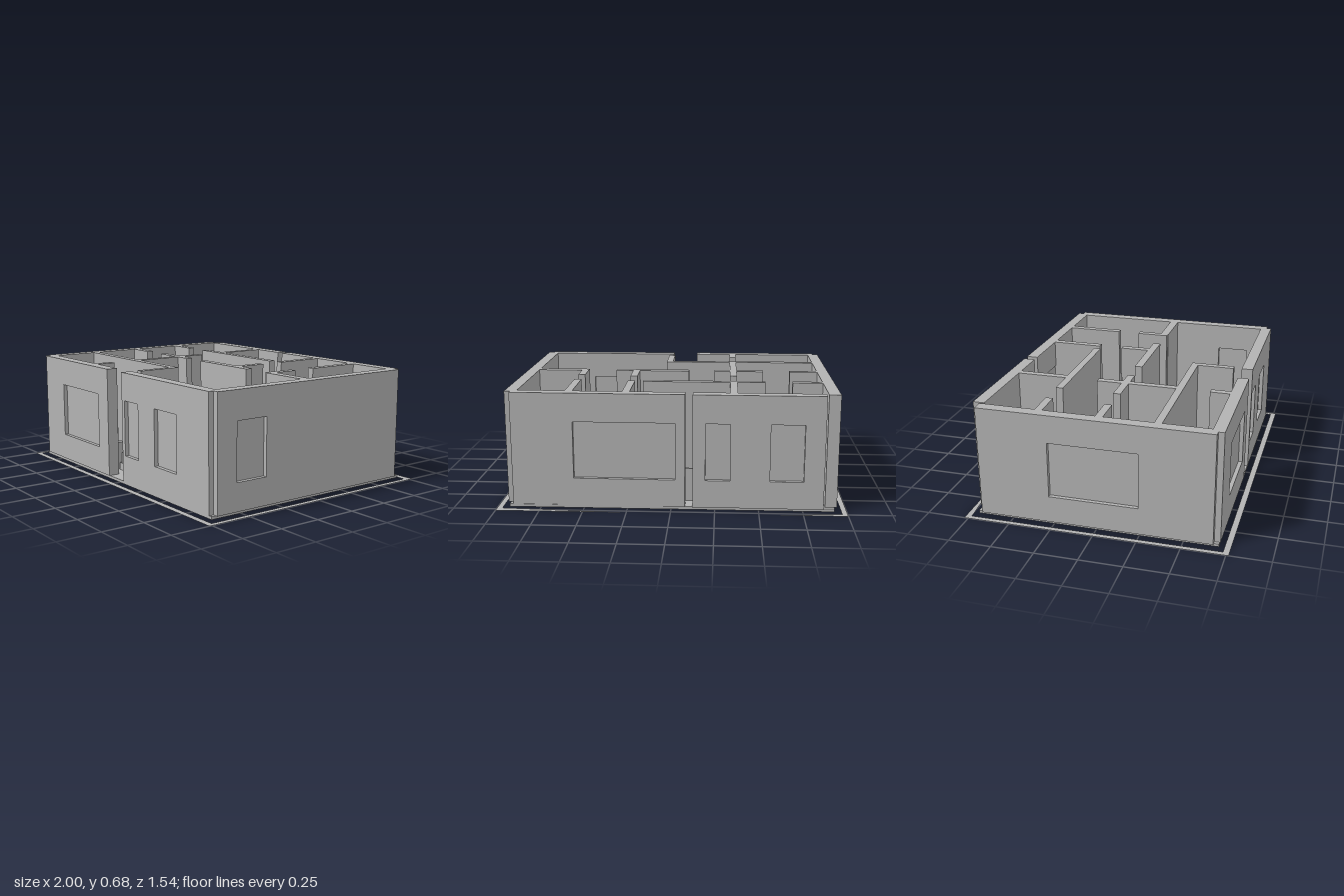
import * as THREE from 'three';

export function createModel() {
  const model = new THREE.Group();
  model.name = 'floorPlanHouse';
  const grey = new THREE.MeshStandardMaterial({ color: 0xb2b2b2, side: THREE.DoubleSide });
  grey.name = 'plain grey';
  const FLOOR = 0.02, TOP = 0.675, SILL = 0.18, HEAD = 0.51;

  const add = (parent, name, geometry, x = 0, y = 0, z = 0) => {
    const mesh = new THREE.Mesh(geometry, grey);
    mesh.name = name;
    mesh.position.set(x, y, z);
    parent.add(mesh);
    return mesh;
  };
  // Box given by its extents
  const box = (parent, name, x1, x2, y1, y2, z1, z2) =>
    add(parent, name, new THREE.BoxGeometry(x2 - x1, y2 - y1, z2 - z1),
      (x1 + x2) / 2, (y1 + y2) / 2, (z1 + z2) / 2);
  const disc = (parent, name, x, z, r, y1, y2) =>
    add(parent, name, new THREE.CylinderGeometry(r, r, y2 - y1, 32), x, (y1 + y2) / 2, z);
  const group = (name) => {
    const g = new THREE.Group();
    g.name = name;
    model.add(g);
    return g;
  };

  // Flat ground border, tapering to nothing along the back
  const border = new THREE.Shape([
    [-1, -0.775], [-0.61, -0.775], [-0.97, -0.74], [-0.97, 0.73], [0.97, 0.73],
    [0.97, -0.73], [0.23, -0.775], [1, -0.775], [1, 0.765], [-1, 0.765],
  ].map(([x, z]) => new THREE.Vector2(x, -z)));
  add(model, 'groundBorder', new THREE.ShapeGeometry(border)).rotation.x = -Math.PI / 2;

  // Floor slab
  box(model, 'floorSlab', -0.93, 0.93, 0.003, FLOOR, -0.712, 0.7);

  // Outer wall along a centre line; windows are ranges on the line's main axis
  const wall = (name, x1, z1, x2, z2, windows = [], t = 0.068) => {
    const g = group(name);
    const dx = x2 - x1, dz = z2 - z1, length = Math.hypot(dx, dz);
    const start = Math.abs(dx) > Math.abs(dz) ? x1 : z1;
    const rect = (Type, a, b, c, d) => new Type([[a, c], [b, c], [b, d], [a, d]]
      .map(([u, v]) => new THREE.Vector2(u, v)));
    const shape = rect(THREE.Shape, 0, length, FLOOR, TOP);
    for (const [a, b] of windows) {
      shape.holes.push(rect(THREE.Path, a - start, b - start, SILL, HEAD));
      box(g, 'windowPane', a - start, b - start, SILL, HEAD, -0.01, 0.01);
    }
    const geometry = new THREE.ExtrudeGeometry(shape, { depth: t, bevelEnabled: false });
    geometry.translate(0, 0, -t / 2);
    add(g, 'wallPanel', geometry);
    g.position.set(x1, 0, z1);
    g.rotation.y = -Math.atan2(dz, dx);
  };
  wall('frontWallRight', -0.91, 0.671, -0.105, 0.671, [[-0.67, -0.22]]);
  wall('frontWallLeft', 0.055, 0.669, 0.91, 0.669, [[0.085, 0.23], [0.4, 0.615]]);
  wall('backWallRight', -0.865, -0.696, -0.123, -0.688, [[-0.75, -0.56], [-0.335, -0.195]]);
  wall('backWallLeft', -0.08, -0.687, 0.91, -0.673, [[-0.025, 0.555]]);
  wall('rightWall', -0.911, -0.685, -0.911, 0.67, [[-0.27, 0.25]]);
  wall('leftWall', 0.911, -0.675, 0.911, 0.672, [[0.345, 0.545]]);

  // Partition walls: x1, x2, z1, z2
  const partitions = group('partitionWalls');
  for (const [x1, x2, z1, z2] of [
    [-0.374, -0.332, -0.665, -0.34],
    [-0.88, -0.7, -0.358, -0.315],
    [-0.54, 0.187, -0.358, -0.315],
    [-0.88, -0.706, -0.01, 0.034],
    [-0.54, -0.235, -0.01, 0.034],
    [-0.374, -0.332, -0.16, 0.34],
    [-0.075, 0.385, -0.01, 0.037],
    [-0.88, 0.085, 0.32, 0.363],
    [0.045, 0.085, 0.35, 0.585],
    [-0.374, -0.332, 0.52, 0.64],
    [0.235, 0.278, -0.655, -0.335],
    [0.235, 0.278, -0.187, 0],
    [0.562, 0.605, -0.65, -0.3],
    [0.562, 0.605, -0.16, 0.037],
    [0.58, 0.88, -0.01, 0.043],
  ]) box(partitions, 'partition', x1, x2, FLOOR, TOP, z1, z2);

  // Beds with pillows, headboard, round tables and square stools
  const bed = (x, z1, z2, width, tableOffset, tableZ, stoolOffset, stoolZ) => {
    const g = group('bed');
    const w = width / 2, m = w - 0.01;
    box(g, 'headboard', x - w, x + w, FLOOR, 0.215, z1, z1 + 0.014);
    box(g, 'bedBase', x - w, x + w, FLOOR, 0.065, z1 + 0.014, z2);
    box(g, 'mattress', x - m, x + m, 0.065, 0.13, z1 + 0.014, z2 - 0.008);
    for (const s of [-1, 1]) {
      const p = [x + s * 0.006, x + s * (m - 0.004)].sort((a, b) => a - b);
      box(g, 'pillow', p[0], p[1], 0.13, 0.145, z1 + 0.02, z1 + 0.08);
      disc(g, 'roundTable', x + s * tableOffset, tableZ, 0.041, FLOOR, 0.12);
      const sx = x + s * stoolOffset;
      box(g, 'stool', sx - 0.022, sx + 0.022, FLOOR, 0.19, stoolZ - 0.022, stoolZ + 0.022);
    }
  };
  bed(-0.05, -0.605, -0.438, 0.22, 0.17, -0.56, 0.145, -0.457);
  bed(0.005, 0.135, 0.48, 0.33, 0.223, 0.18, 0.193, 0.462);
  bed(-0.125, 0.4, 0.572, 0.15, 0.13, 0.45, 0.113, 0.553);
  bed(-0.605, 0.4, 0.572, 0.205, 0.158, 0.45, 0.133, 0.553);
  bed(0.422, -0.437, -0.147, 0.15, 0.136, -0.39, 0.11, -0.168);

  // Washroom sets: basin stand, cistern and round bowl in a row
  for (const [x, z] of [[-0.79, -0.565], [-0.79, -0.215], [-0.79, 0.112], [-0.228, -0.215]]) {
    const g = group('washroomSet');
    box(g, 'basinStand', x - 0.043, x + 0.043, FLOOR, 0.16, z - 0.04, z + 0.04);
    disc(g, 'basin', x, z, 0.04, 0.16, 0.168);
    disc(g, 'drain', x, z, 0.004, 0.168, 0.171);
    box(g, 'cistern', x - 0.035, x + 0.03, FLOOR, 0.17, z + 0.053, z + 0.1);
    disc(g, 'bowl', x - 0.003, z + 0.159, 0.048, FLOOR, 0.1);
  }

  // Counter with a round basin by the left wall
  const counter = group('counter');
  box(counter, 'counterBody', 0.663, 0.878, FLOOR, 0.13, -0.16, -0.064);
  disc(counter, 'basin', 0.834, -0.107, 0.04, 0.13, 0.138);
  disc(counter, 'basinDrain', 0.834, -0.107, 0.004, 0.138, 0.141);
  disc(counter, 'counterDrain', 0.711, -0.11, 0.004, 0.13, 0.133);

  return model;
}
